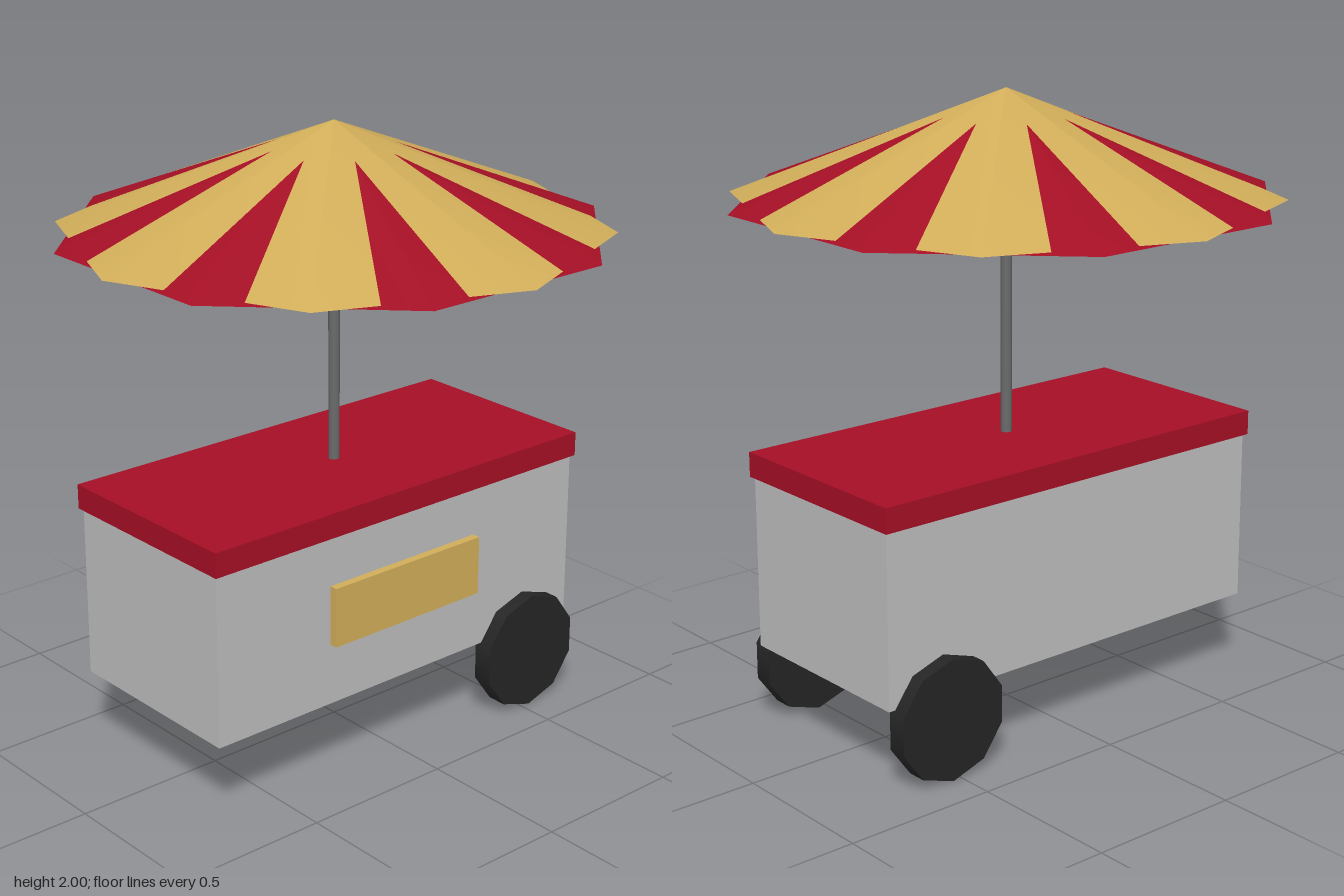
import * as THREE from 'three';

function material(name, color) {
  const m = new THREE.MeshStandardMaterial({ color });
  m.name = name;
  return m;
}

export function createModel() {
  const grey = material('light grey', 0xbcbcbc);
  const red = material('deep red', 0xa40f25);
  const gold = material('gold', 0xd0ad59);
  const black = material('tyre black', 0x252525);
  const steel = material('dark steel', 0x6a6a6a);

  const cart = new THREE.Group();
  cart.name = 'vendorCart';

  function add(name, geometry, mat, x, y, z) {
    const mesh = new THREE.Mesh(geometry, mat);
    mesh.name = name;
    mesh.position.set(x, y, z);
    cart.add(mesh);
    return mesh;
  }

  // Box body, overhanging lid and raised front sign
  add('body', new THREE.BoxGeometry(1.47, 0.56, 0.664), grey, 0, 0.55, 0);
  add('lid', new THREE.BoxGeometry(1.49, 0.08, 0.69), red, 0, 0.87, 0);
  add('signPlate', new THREE.BoxGeometry(0.6, 0.196, 0.04), gold, 0, 0.57, 0.339);

  // One wheel on each side, at the model's left end
  for (const side of [1, -1]) {
    const wheel = add(side > 0 ? 'frontWheel' : 'backWheel',
      new THREE.CylinderGeometry(0.198, 0.198, 0.066, 10), black, 0.53, 0.2, side * 0.347);
    wheel.rotation.x = Math.PI / 2;
  }

  // Umbrella pole
  add('pole', new THREE.CylinderGeometry(0.018, 0.018, 0.9, 8), steel, 0, 1.35, 0);

  // Canopy: two eight-sided cones, half a step apart, cut through each other to make stripes
  const canopyHeight = 0.333;
  add('goldCanopy', new THREE.ConeGeometry(0.862, canopyHeight, 8), gold, 0, 2 - canopyHeight / 2, 0);
  const redCanopy = add('redCanopy', new THREE.ConeGeometry(0.867, canopyHeight, 8), red,
    0, 1.9933 - canopyHeight / 2, 0);
  redCanopy.rotation.y = Math.PI / 8;

  return cart;
}
